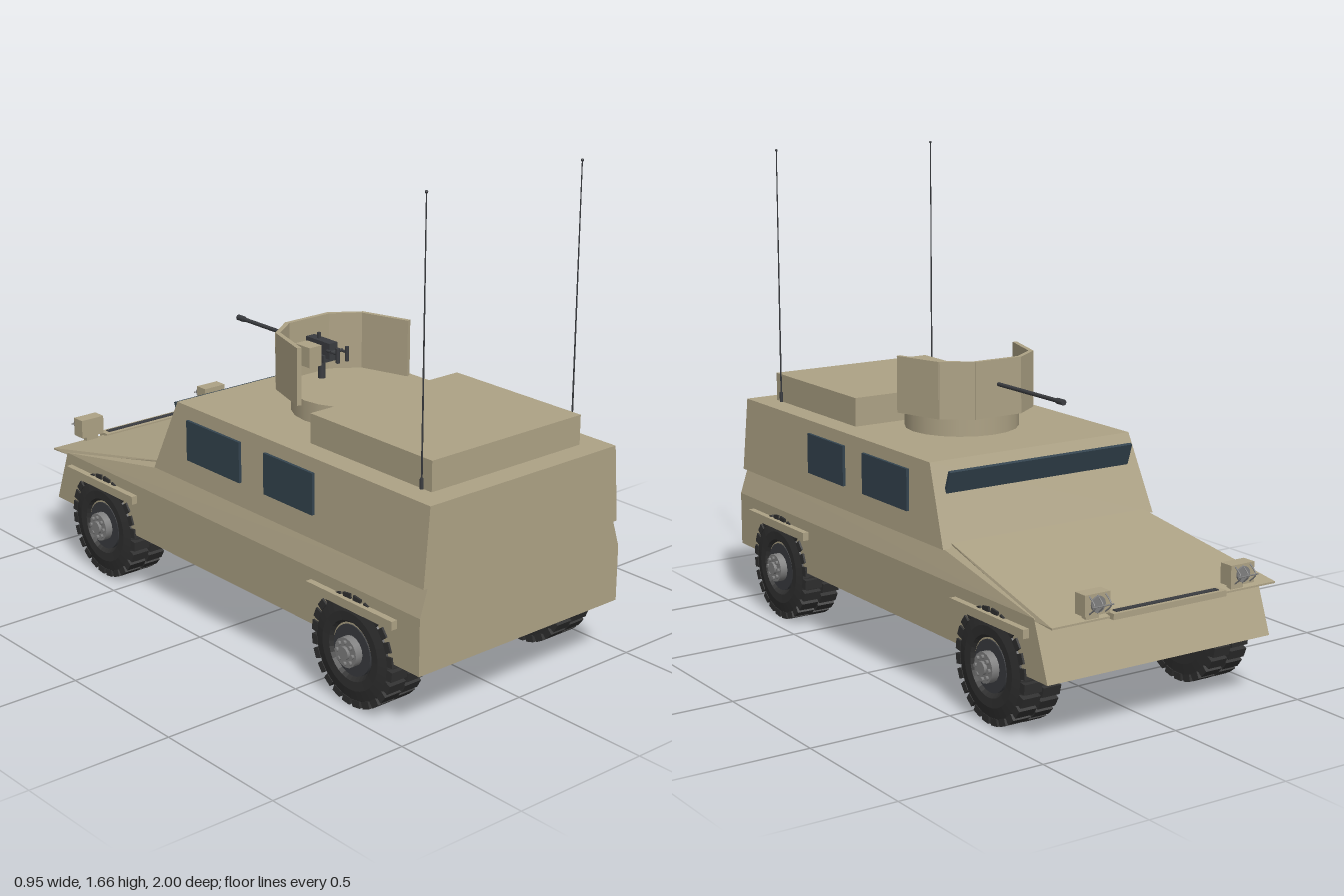
import * as THREE from 'three';
import { ConvexGeometry } from 'three/addons/geometries/ConvexGeometry.js';

const mat = (color, opts = {}) => {
  const m = new THREE.MeshStandardMaterial({ color, ...opts });
  return m;
};

export function createModel() {
  const model = new THREE.Group();
  model.name = 'armouredTruck';
  const tan = mat(0xada285, { flatShading: true });
  const tanSmooth = mat(0xada285);
  const glass = mat(0x34444f);
  const rubber = mat(0x303030, { flatShading: true });
  const steel = mat(0x808080);
  const gunMetal = mat(0x3a3c40);

  const add = (name, geo, material, x = 0, y = 0, z = 0, parent = model) => {
    const m = new THREE.Mesh(geo, material);
    m.name = name;
    m.position.set(x, y, z);
    parent.add(m);
    return m;
  };
  // Box given by its extents
  const box = (name, material, x0, x1, y0, y1, z0, z1, parent = model) =>
    add(name, new THREE.BoxGeometry(x1 - x0, y1 - y0, z1 - z0), material,
      (x0 + x1) / 2, (y0 + y1) / 2, (z0 + z1) / 2, parent);
  // Left-right symmetric convex solid from half its corners
  const hull = (name, corners) => add(name, new ConvexGeometry(
    corners.flatMap(([x, y, z]) => [new THREE.Vector3(x, y, z), new THREE.Vector3(-x, y, z)])), tan);
  // Cylinder lying along x or z
  const rod = (name, material, r, len, axis, x, y, z, parent = model, sides = 12) => {
    const g = new THREE.CylinderGeometry(r, r, len, sides);
    if (axis === 'x') g.rotateZ(Math.PI / 2);
    if (axis === 'z') g.rotateX(Math.PI / 2);
    return add(name, g, material, x, y, z, parent);
  };

  // Body
  hull('lowerHull', [[0.435, 0.21, 1], [0.435, 0.21, -0.93], [0.435, 0.4, 1], [0.435, 0.4, -0.86]]);
  hull('shoulderBand', [[0.435, 0.4, 1], [0.435, 0.4, -0.86], [0.405, 0.492, 1], [0.405, 0.49, -0.3],
    [0.385, 0.5, -0.34]]);
  hull('hood', [[0.385, 0.507, -0.33], [0.385, 0.49, -0.33], [0.435, 0.393, -0.95], [0.435, 0.387, -0.95],
    [0.435, 0.393, -0.86]]);
  hull('cabin', [[0.422, 0.49, 1], [0.422, 0.49, -0.345], [0.4, 0.75, 1], [0.4, 0.75, -0.235]]);
  box('roofBox', tan, -0.32, 0.32, 0.745, 0.85, 0.36, 0.92);

  // Windows
  for (const s of [-1, 1]) {
    for (const [z0, z1] of [[0.26, 0.5], [-0.145, 0.135]]) {
      const w = box('sideWindow', glass, -0.005, 0.005, 0.575, 0.715, z0, z1);
      w.position.x = s * 0.427;
    }
  }
  const visor = box('windshieldSlit', glass, -0.365, 0.365, 0.648, 0.728, -0.289, -0.277);
  visor.rotation.x = -0.33;

  // Fender strips
  for (const s of [-1, 1]) {
    for (const z of [0.7, -0.635]) {
      const f = box('fenderStrip', tan, -0.015, 0.015, 0.333, 0.362, z - 0.2, z + 0.2);
      f.position.x = s * 0.442;
    }
  }

  // Wheels, outer side towards +x
  const makeWheel = () => {
    const wheel = new THREE.Group();
    wheel.name = 'wheel';
    const profile = [[0.001, -0.07], [0.13, -0.07], [0.165, -0.066], [0.174, -0.05], [0.174, 0.05],
      [0.165, 0.067], [0.13, 0.075], [0.1, 0.073], [0.085, 0.055], [0.001, 0.055]];
    const tyre = new THREE.LatheGeometry(profile.map(([r, a]) => new THREE.Vector2(r, a)), 32);
    tyre.rotateZ(-Math.PI / 2);
    add('tyre', tyre, rubber, 0, 0, 0, wheel);
    // Two staggered rows of tread blocks
    const count = 24;
    for (let i = 0; i < count; i++) {
      for (const s of [-1, 1]) {
        const a = (i + (s > 0 ? 0.5 : 0)) / count * Math.PI * 2;
        const block = add('treadBlock', new THREE.BoxGeometry(0.066, 0.024, 0.034), rubber,
          s * 0.036, Math.cos(a) * 0.176, Math.sin(a) * 0.176, wheel);
        block.rotation.x = a;
      }
    }
    rod('rim', gunMetal, 0.085, 0.012, 'x', 0.06, 0, 0, wheel, 24);
    rod('hub', steel, 0.05, 0.035, 'x', 0.075, 0, 0, wheel, 16);
    rod('hubCap', steel, 0.022, 0.016, 'x', 0.095, 0, 0, wheel, 16);
    for (let i = 0; i < 8; i++) {
      const a = i / 8 * Math.PI * 2;
      rod('wheelNut', steel, 0.007, 0.01, 'x', 0.096, Math.cos(a) * 0.036, Math.sin(a) * 0.036, wheel, 6);
    }
    return wheel;
  };
  for (const s of [-1, 1]) {
    for (const z of [0.7, -0.635]) {
      const w = makeWheel();
      w.position.set(s * 0.373, 0.19, z);
      if (s < 0) w.rotation.y = Math.PI;
      model.add(w);
    }
  }

  // Front bar with dark slot, and caged headlights
  box('frontBar', tan, -0.22, 0.22, 0.385, 0.404, -0.968, -0.92);
  box('frontBarSlot', gunMetal, -0.2, 0.2, 0.4, 0.407, -0.955, -0.935);
  for (const s of [-1, 1]) {
    const lamp = new THREE.Group();
    lamp.name = 'headlight';
    lamp.position.x = s * 0.282;
    box('lampFoot', tan, -0.025, 0.025, 0.39, 0.418, -0.945, -0.925, lamp);
    box('lampHousing', tan, -0.047, 0.047, 0.413, 0.48, -0.97, -0.92, lamp);
    rod('lampLens', steel, 0.026, 0.008, 'z', 0, 0.447, -0.972, lamp, 16);
    for (const x of [-0.03, 0, 0.03]) {
      const path = new THREE.CatmullRomCurve3([[0.475, -0.968], [0.455, -0.993], [0.447, -0.997],
        [0.439, -0.993], [0.418, -0.968]].map(([y, z]) => new THREE.Vector3(x, y, z)));
      add('guardWire', new THREE.TubeGeometry(path, 10, 0.0025, 5), steel, 0, 0, 0, lamp);
    }
    rod('guardCrossWire', steel, 0.0025, 0.08, 'x', 0, 0.447, -0.997, lamp, 5);
    model.add(lamp);
  }

  // Turret ring and angled gun shield
  add('turretRing', new THREE.CylinderGeometry(0.197, 0.197, 0.075, 20), tanSmooth, 0, 0.782, 0.185);
  const plan = [[-0.238, 0.205], [-0.185, 0.035], [-0.09, -0.032], [0.09, -0.032], [0.185, 0.035], [0.238, 0.205]];
  for (let i = 0; i < plan.length - 1; i++) {
    const [ax, az] = plan[i], [bx, bz] = plan[i + 1];
    const panel = add('shieldPanel', new THREE.BoxGeometry(Math.hypot(bx - ax, bz - az) + 0.008, 0.195, 0.016), tan,
      (ax + bx) / 2, 0.915, (az + bz) / 2);
    panel.rotation.y = -Math.atan2(bz - az, bx - ax);
  }

  // Machine gun
  const gun = new THREE.Group();
  gun.name = 'machineGun';
  model.add(gun);
  rod('gunPost', gunMetal, 0.013, 0.09, 'y', 0, 0.86, 0.04, gun);
  box('gunCradle', gunMetal, -0.026, 0.026, 0.885, 0.91, -0.01, 0.08, gun);
  box('receiver', gunMetal, -0.018, 0.018, 0.9, 0.955, -0.02, 0.1, gun);
  box('rearSight', gunMetal, -0.005, 0.005, 0.955, 0.975, 0.02, 0.03, gun);
  box('ammoBox', tan, -0.078, -0.026, 0.875, 0.945, -0.005, 0.07, gun);
  rod('barrel', gunMetal, 0.007, 0.38, 'z', 0, 0.928, -0.2, gun);
  rod('muzzle', gunMetal, 0.01, 0.035, 'z', 0, 0.928, -0.392, gun);
  rod('gripBar', gunMetal, 0.006, 0.05, 'x', 0, 0.93, 0.115, gun, 8);
  for (const s of [-1, 1]) {
    rod('gripHandle', gunMetal, 0.007, 0.05, 'y', s * 0.02, 0.925, 0.145, gun, 8);
    rod('gripArm', gunMetal, 0.005, 0.06, 'z', s * 0.02, 0.93, 0.12, gun, 8);
  }

  // Whip antennas
  for (const s of [-1, 1]) {
    rod('antennaBase', gunMetal, 0.006, 0.04, 'y', s * 0.324, 0.765, 0.88);
    add('antenna', new THREE.CylinderGeometry(0.0018, 0.003, 0.91, 6), gunMetal, s * 0.324, 1.203, 0.88);
    add('antennaTip', new THREE.SphereGeometry(0.005, 8, 6), gunMetal, s * 0.324, 1.658, 0.88);
  }
  return model;
}
